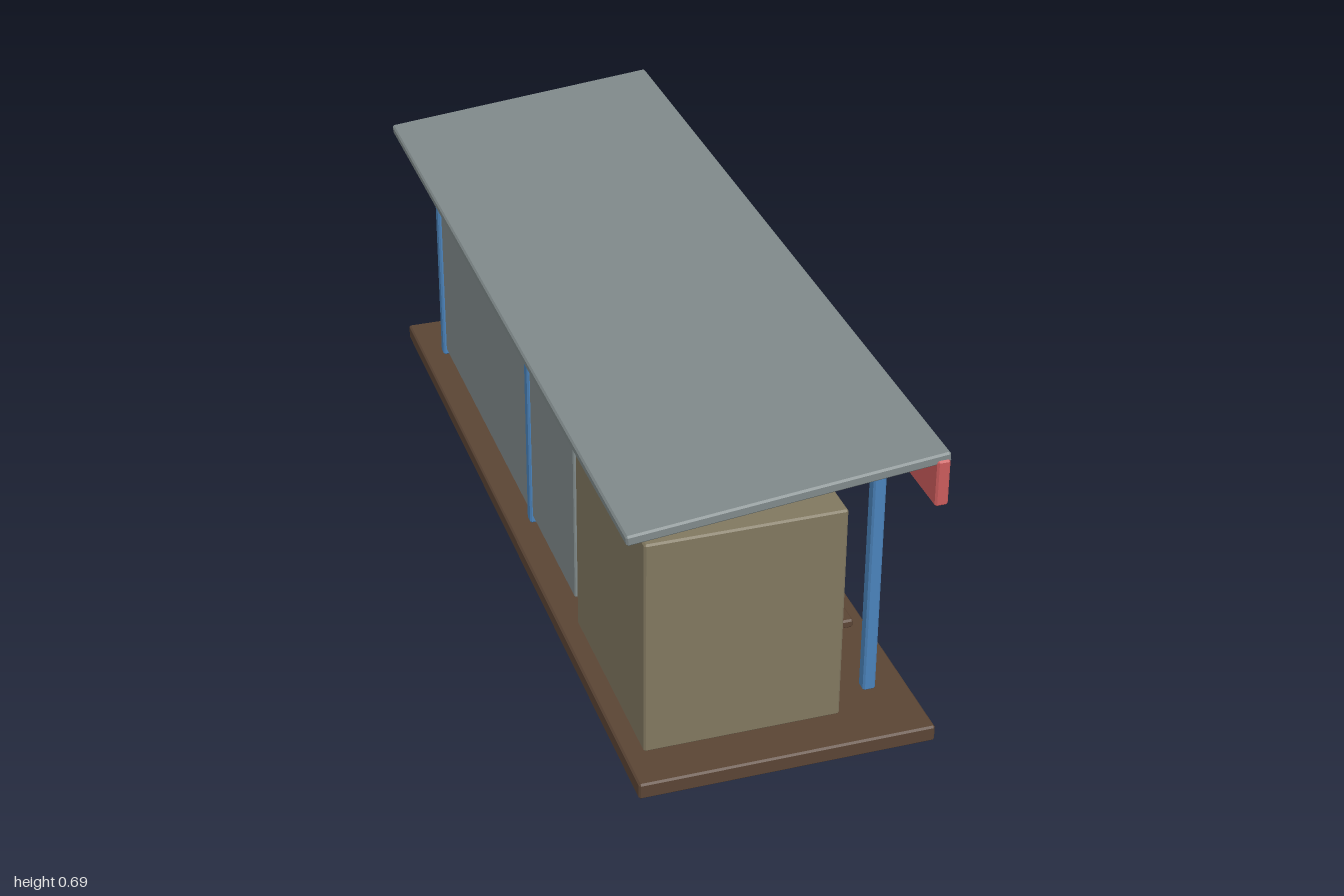
import * as THREE from 'three';
import { ConvexGeometry } from 'three/addons/geometries/ConvexGeometry.js';

const mat = (name, color) => {
  const m = new THREE.MeshStandardMaterial({ color });
  m.name = name;
  return m;
};

// Box with chamfered edges: each corner becomes three points
function chamferBox(w, h, d) {
  const half = [w / 2, h / 2, d / 2];
  const c = Math.min(0.004, Math.min(w, h, d) * 0.2);
  const points = [];
  for (const sx of [-1, 1]) for (const sy of [-1, 1]) for (const sz of [-1, 1]) {
    for (let axis = 0; axis < 3; axis++) {
      const p = half.map((v, i) => (i === axis ? v : v - c));
      points.push(new THREE.Vector3(sx * p[0], sy * p[1], sz * p[2]));
    }
  }
  return new ConvexGeometry(points);
}

export function createModel() {
  const steel = mat('grey steel', 0x7f898a);
  const timber = mat('brown timber', 0x5a4434);
  const blue = mat('blue paint', 0x4a82ba);
  const red = mat('red paint', 0xc95b5b);
  const plaster = mat('olive plaster', 0x80775f);
  const lampWhite = mat('lamp white', 0xd2cdc4);

  const model = new THREE.Group();
  model.name = 'platformShelter';

  // Adds a box by its extents on each axis
  const box = (name, material, [x0, x1], [y0, y1], [z0, z1], parent = model) => {
    const mesh = new THREE.Mesh(chamferBox(x1 - x0, y1 - y0, z1 - z0), material);
    mesh.name = name;
    mesh.position.set((x0 + x1) / 2, (y0 + y1) / 2, (z0 + z1) / 2);
    parent.add(mesh);
    return mesh;
  };

  const floor = 0.037;
  const slope = 0.1;

  // Deck, sloping roof and front fascia
  box('deck', timber, [-0.311, 0.329], [0, floor], [-1, 1]);
  const roof = box('roof', steel, [-0.333, 0.333], [0.632, 0.655], [-0.982, 0.982]);
  roof.rotation.z = slope;
  box('fascia', red, [0.301, 0.329], [0.569, 0.673], [-0.986, 0.986]);

  // Three frames, each with two posts and a rafter
  for (const z of [-0.83, 0, 0.83]) {
    const frame = new THREE.Group();
    frame.name = 'frame';
    frame.position.z = z;
    model.add(frame);
    box('frontPost', blue, [0.231, 0.259], [floor, 0.635], [-0.014, 0.014], frame);
    box('backPost', blue, [-0.262, -0.231], [floor, 0.6], [-0.014, 0.014], frame);
    const rafter = box('rafter', blue, [-0.29, 0.29], [0.598, 0.629], [-0.014, 0.014], frame);
    rafter.rotation.z = slope;
  }

  // Lamp strip below the rafters
  box('lampStrip', lampWhite, [0.051, 0.116], [0.597, 0.607], [-0.87, 0.87]);

  // Back wall panel
  box('backWall', steel, [-0.256, -0.244], [0.056, 0.535], [-0.81, 0.358]);

  // Kiosk with window and counter
  box('kiosk', plaster, [-0.27, 0.155], [floor, 0.54], [0.425, 0.902]);
  box('kioskWindow', steel, [0.15, 0.164], [0.22, 0.417], [0.516, 0.812]);
  box('kioskCounter', timber, [0.15, 0.211], [0.19, 0.21], [0.508, 0.822]);

  // Two benches
  for (const z of [-0.073, -0.605]) {
    const bench = new THREE.Group();
    bench.name = 'bench';
    bench.position.z = z;
    model.add(bench);
    box('seat', timber, [-0.172, -0.064], [0.105, 0.122], [-0.203, 0.203], bench);
    box('backrest', timber, [-0.189, -0.171], [0.149, 0.211], [-0.203, 0.203], bench);
    for (const side of [-1, 1]) {
      const lz = side * 0.161;
      box('benchLeg', steel, [-0.162, -0.074], [floor, 0.106], [lz - 0.007, lz + 0.007], bench);
    }
  }

  return model;
}
